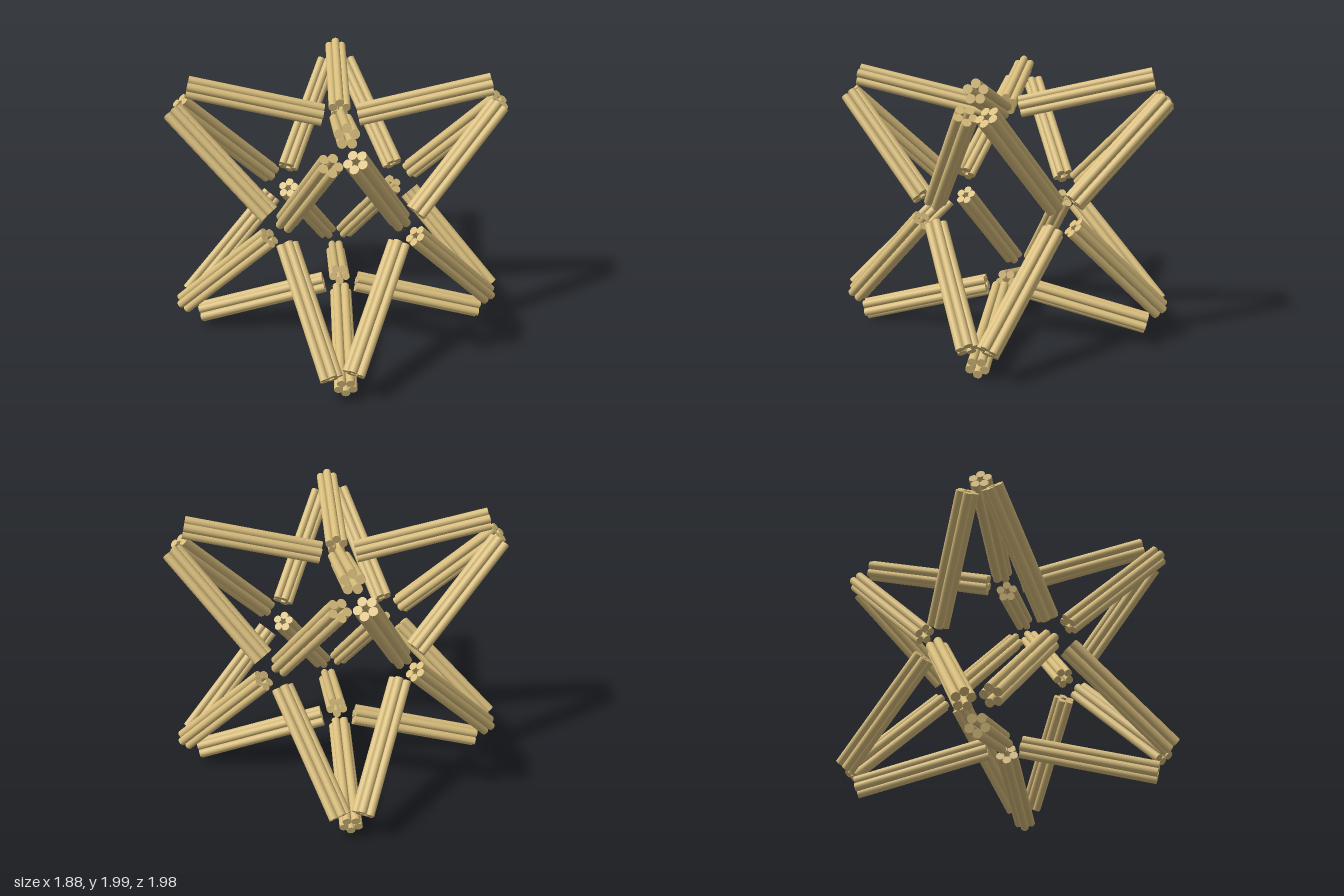
import * as THREE from 'three';

const HUB = [0.03, 1.005, -0.02]; // common centre of the star
const INNER = 0.09, OUTER = 0.77; // sideways reach of a bundle's two ends
const STICK_R = 0.031, STICKS = 5;
const RING_R = STICK_R / Math.sin(Math.PI / STICKS);

// The six sides: axis, then depth along that axis at the inner and outer end
const SIDES = [
  { name: 'left', axis: 0, inner: 0.685, outer: 0.875 },
  { name: 'right', axis: 0, inner: -0.625, outer: -0.845 },
  { name: 'top', axis: 1, inner: 1.7, outer: 1.92 },
  { name: 'bottom', axis: 1, inner: 0.335, outer: 0.09 },
  { name: 'front', axis: 2, inner: 0.63, outer: 0.9 },
  { name: 'back', axis: 2, inner: -0.735, outer: -0.915 },
];

// Ring of round sticks running from a to b, one stick facing outward
function makeBundle(a, b, outward, material) {
  const bundle = new THREE.Group();
  const dir = b.clone().sub(a);
  const length = dir.length();
  dir.normalize();
  const u = outward.clone().addScaledVector(dir, -outward.dot(dir)).normalize();
  const w = new THREE.Vector3().crossVectors(u, dir);
  bundle.quaternion.setFromRotationMatrix(new THREE.Matrix4().makeBasis(u, dir, w));
  bundle.position.copy(a).add(b).multiplyScalar(0.5);

  const stickGeometry = new THREE.CylinderGeometry(STICK_R, STICK_R, length, 20);
  for (let i = 0; i < STICKS; i++) {
    const t = (i / STICKS) * Math.PI * 2;
    const stick = new THREE.Mesh(stickGeometry, material);
    stick.name = 'stick';
    stick.position.set(Math.cos(t) * RING_R, 0, Math.sin(t) * RING_R);
    bundle.add(stick);
  }
  return bundle;
}

export function createModel() {
  const model = new THREE.Group();
  model.name = 'stickStar';
  const wood = new THREE.MeshStandardMaterial({ color: 0xd8bd7c });

  // Four bundles on each side, fanning from its sunken middle to the corners
  for (const side of SIDES) {
    const group = new THREE.Group();
    group.name = side.name + 'Side';
    const p = (side.axis + 1) % 3, q = (side.axis + 2) % 3;
    const outward = new THREE.Vector3().setComponent(side.axis, Math.sign(side.inner - HUB[side.axis]));
    for (const sp of [-1, 1]) {
      for (const sq of [-1, 1]) {
        const point = (depth, reach) => new THREE.Vector3()
          .setComponent(side.axis, depth)
          .setComponent(p, HUB[p] + sp * reach)
          .setComponent(q, HUB[q] + sq * reach);
        const bundle = makeBundle(point(side.inner, INNER), point(side.outer, OUTER), outward, wood);
        bundle.name = 'bundle';
        group.add(bundle);
      }
    }
    model.add(group);
  }
  return model;
}
